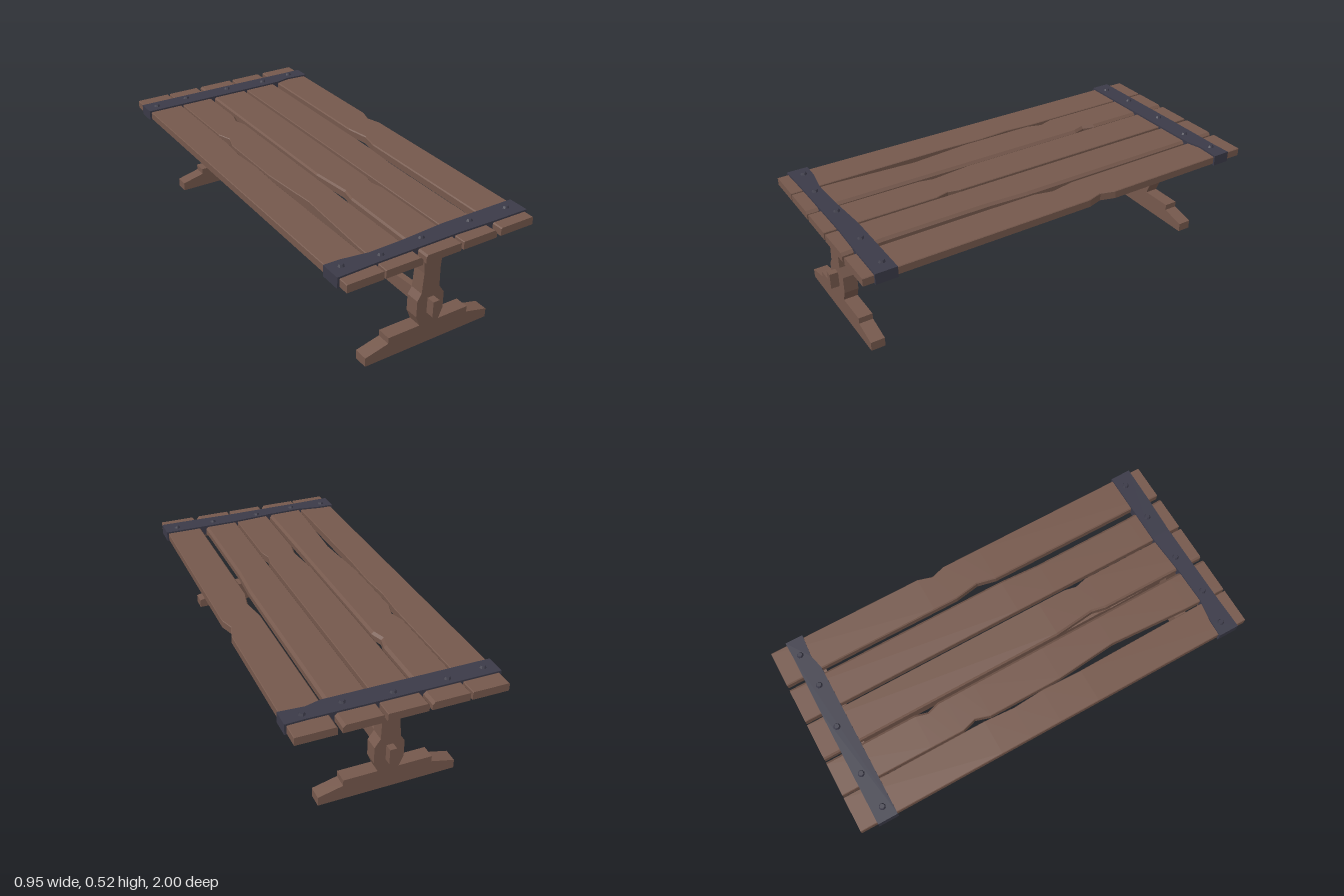
import * as THREE from 'three';

const wood = new THREE.MeshStandardMaterial({ color: 0x75584c, flatShading: true });
const iron = new THREE.MeshStandardMaterial({ color: 0x3b3a48, flatShading: true });

function add(parent, name, geometry, material) {
  const mesh = new THREE.Mesh(geometry, material);
  mesh.name = name;
  parent.add(mesh);
  return mesh;
}

// Extrudes an outline of [x, y] points along z, starting at z = start
function slab(points, depth, start) {
  const shape = new THREE.Shape(points.map(p => new THREE.Vector2(p[0], p[1])));
  return new THREE.ExtrudeGeometry(shape, { depth, bevelEnabled: false }).translate(0, 0, start);
}

// Joins equal-length, counter-clockwise sections running towards +z
function loft(sections) {
  const n = sections[0].length, index = [];
  for (let s = 0; s < sections.length - 1; s++) {
    for (let i = 0; i < n; i++) {
      const a = s * n + i, b = s * n + (i + 1) % n;
      index.push(a, b, b + n, a, b + n, a + n);
    }
  }
  const last = (sections.length - 1) * n;
  for (let i = 1; i < n - 1; i++) index.push(0, i + 1, i, last, last + i, last + i + 1);
  const geometry = new THREE.BufferGeometry();
  geometry.setAttribute('position', new THREE.Float32BufferAttribute(sections.flat(2), 3));
  geometry.setIndex(index);
  const flat = geometry.toNonIndexed();
  flat.computeVertexNormals();
  return flat;
}

// Reads a worn edge, given as [z, x] points, at any z
function edgeAt(edge, z) {
  for (let i = 1; i < edge.length; i++) {
    const [z0, x0] = edge[i - 1], [z1, x1] = edge[i];
    if (z <= z1) return x0 + (x1 - x0) * (z - z0) / (z1 - z0);
  }
  return edge[edge.length - 1][1];
}

// Plank between two worn edges, with a chamfer on each top corner
function plank(left, right, cl, cr) {
  const stations = [...new Set([...left, ...right].map(p => p[0]))].sort((a, b) => a - b);
  return loft(stations.map(z => {
    const l = edgeAt(left, z), r = edgeAt(right, z);
    return [[l, 0.462, z], [r, 0.462, z], [r, 0.499 - cr, z],
      [r - cr, 0.499, z], [l + cl, 0.499, z], [l, 0.499 - cl, z]];
  }));
}

export function createModel() {
  const table = new THREE.Group();
  table.name = 'trestleTable';

  // Table top: five planks with worn edges
  const top = new THREE.Group();
  top.name = 'tableTop';
  table.add(top);
  const planks = [
    [[[-1, -0.47], [1, -0.47]],
      [[-1, -0.3], [-0.3, -0.3], [-0.15, -0.31], [0, -0.3], [0.2, -0.306], [1, -0.298]], 0.003, 0.003],
    [[[-1, -0.29], [-0.4, -0.292], [-0.33, -0.27], [-0.26, -0.292], [0.1, -0.292], [0.4, -0.264], [0.8, -0.286], [1, -0.29]],
      [[-1, -0.118], [-0.56, -0.118], [-0.5, -0.135], [-0.44, -0.116], [1, -0.112]], 0.003, 0.012],
    [[[-1, -0.105], [0.2, -0.102], [0.4, -0.08], [0.47, -0.094], [1, -0.096]],
      [[-1, 0.076], [0.34, 0.077], [0.4, 0.065], [0.46, 0.08], [1, 0.08]], 0.008, 0.003],
    [[[-1, 0.092], [1, 0.093]],
      [[-1, 0.267], [0.1, 0.267], [0.3, 0.256], [0.8, 0.257], [1, 0.268]], 0.003, 0.012],
    [[[-1, 0.288], [-0.12, 0.29], [0, 0.31], [0.09, 0.29], [1, 0.29]],
      [[-1, 0.466], [-0.24, 0.466], [-0.17, 0.445], [-0.1, 0.466], [1, 0.466]], 0.005, 0.003],
  ];
  planks.forEach(p => add(top, 'plank', plank(...p), wood));

  // Iron bands across both ends, outlined in plan as [x, -z]
  const bands = [
    { outline: [[-0.48, -0.95], [-0.3, -0.945], [0.1, -0.942], [0.3, -0.948], [0.475, -0.95],
        [0.475, -0.85], [0.1, -0.85], [-0.12, -0.866], [-0.28, -0.87], [-0.4, -0.852], [-0.48, -0.85]],
      bolts: [[-0.425, 0.89], [-0.25, 0.905], [-0.04, 0.89], [0.21, 0.89], [0.41, 0.89]] },
    { outline: [[-0.48, 0.825], [0.29, 0.825], [0.36, 0.843], [0.475, 0.835],
        [0.475, 0.92], [0.38, 0.917], [0.1, 0.92], [-0.48, 0.92]],
      bolts: [[-0.42, -0.87], [-0.245, -0.885], [0, -0.885], [0.215, -0.87], [0.39, -0.885]] },
  ];
  for (const { outline, bolts } of bands) {
    add(top, 'ironBand', slab(outline, 0.051, 0).rotateX(-Math.PI / 2).translate(0, 0.456, 0), iron);
    for (const [x, z] of bolts) {
      add(top, 'bolt', new THREE.CylinderGeometry(0.011, 0.017, 0.012, 8), iron).position.set(x, 0.511, z);
    }
  }

  // Trestles: foot, waisted post and cross bearer at each end
  const foot = [[-0.327, 0], [0.317, 0], [0.317, 0.043], [0.203, 0.071], [0.203, 0.1],
    [-0.213, 0.1], [-0.213, 0.071], [-0.327, 0.043]];
  const post = [[-0.053, 0.1], [0.045, 0.1], [0.065, 0.15], [0.065, 0.23], [0.038, 0.27], [0.036, 0.36],
    [0.042, 0.445], [-0.052, 0.445], [-0.047, 0.36], [-0.054, 0.262], [-0.074, 0.23], [-0.074, 0.15]];
  const bearer = [[-0.402, 0.44], [0.394, 0.44], [0.404, 0.463], [-0.412, 0.463]];
  for (const z of [0.87, -0.876]) {
    const trestle = new THREE.Group();
    trestle.name = z > 0 ? 'frontTrestle' : 'backTrestle';
    table.add(trestle);
    add(trestle, 'foot', slab(foot, 0.066, z), wood);
    add(trestle, 'post', slab(post, 0.066, z), wood);
    add(trestle, 'bearer', slab(bearer, 0.066, z), wood);
  }

  // Stretcher with a worn top, passing through both posts; outlined as [z, y]
  const profile = [[-0.912, 0.155], [0.976, 0.155], [0.976, 0.231], [0.87, 0.229], [0.58, 0.209],
    [0.5, 0.223], [0.04, 0.212], [-0.02, 0.222], [-0.17, 0.208], [-0.85, 0.23], [-0.912, 0.23]];
  add(table, 'stretcher', slab(profile, 0.032, -0.011).rotateY(-Math.PI / 2), wood).position.x = 0.0;

  // Rail under the planks, between the posts
  add(table, 'underRail', new THREE.BoxGeometry(0.09, 0.022, 1.7), wood).position.set(-0.005, 0.452, 0.03);

  return table;
}
